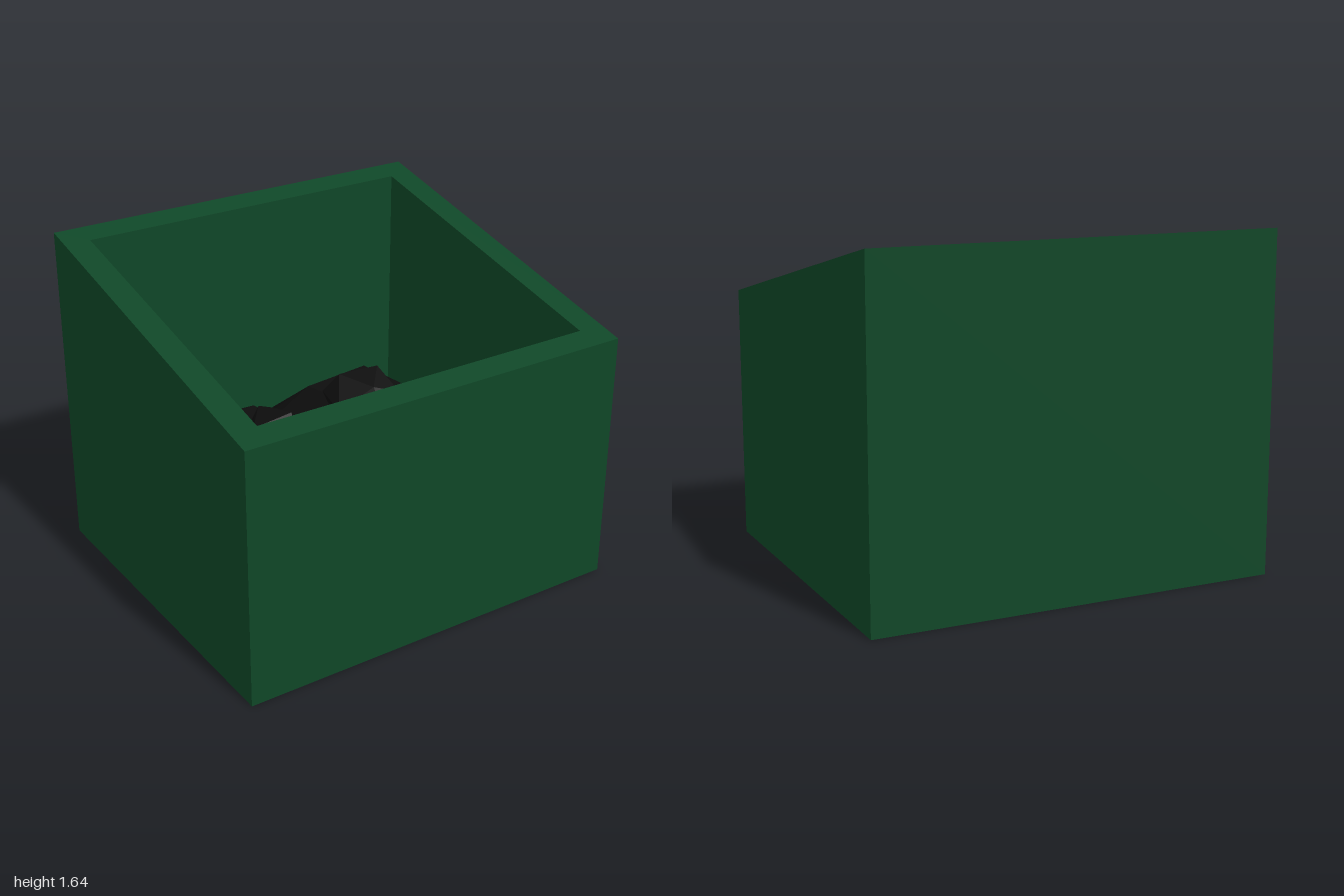
import * as THREE from 'three';
import { ConvexGeometry } from 'three/addons/geometries/ConvexGeometry.js';

const W = 1, D = 0.88;           // outer half width and depth
const IW = 0.87, ID = 0.76;      // inner half width and depth
const FLOOR = 0.12;
const rimY = z => 1.45 - z * 0.216; // sloping rim height

const boxMaterial = new THREE.MeshStandardMaterial({ color: 0x0f4627, flatShading: true });
const coalMaterial = new THREE.MeshStandardMaterial({ color: 0x0d0d0d, flatShading: true });

// Rectangular walls with a hole, extruded upwards, top cut to the slope
function makeWalls() {
  const rect = (target, w, d) => target.moveTo(-w, -d).lineTo(w, -d).lineTo(w, d).lineTo(-w, d).closePath();
  const shape = rect(new THREE.Shape(), W, D);
  shape.holes.push(rect(new THREE.Path(), IW, ID));
  const geo = new THREE.ExtrudeGeometry(shape, { depth: 1, bevelEnabled: false });
  geo.rotateX(-Math.PI / 2);
  const p = geo.attributes.position;
  for (let i = 0; i < p.count; i++) if (p.getY(i) > 0.5) p.setY(i, rimY(p.getZ(i)));
  geo.computeVertexNormals();
  return new THREE.Mesh(geo, boxMaterial);
}

// Faceted lump: hull of its plan outline at the widest level, a base and a crown
function makeLump(outline, baseY, midY, topY, crown, name) {
  const cx = outline.reduce((s, p) => s + p[0], 0) / outline.length;
  const cz = outline.reduce((s, p) => s + p[1], 0) / outline.length;
  const ring = (scale, y, wobble, step) => outline
    .filter((_, i) => i % step === 0)
    .map(([x, z], i) => new THREE.Vector3(
      cx + (x - cx) * scale, y + wobble * Math.sin(i * 2.3), cz + (z - cz) * scale));
  const geo = new ConvexGeometry([
    ...ring(0.6, baseY, 0, 2),
    ...ring(1, midY, 0.05, 1),
    ...ring(crown, topY, 0.025, 2),
  ]);
  const mesh = new THREE.Mesh(geo, coalMaterial);
  mesh.name = name;
  return mesh;
}

export function createModel() {
  const group = new THREE.Group();
  group.name = 'coalBunker';

  const walls = makeWalls();
  walls.name = 'walls';
  const floor = new THREE.Mesh(new THREE.BoxGeometry(IW * 2, FLOOR, ID * 2), boxMaterial);
  floor.name = 'floor';
  floor.position.y = FLOOR / 2;
  group.add(walls, floor);

  // Large lumps resting on the floor, plan outlines as [x, z]
  const coal = new THREE.Group();
  coal.name = 'coalPile';
  const large = {
    leftLump: [[-0.5, -0.76], [-0.24, -0.76], [0.02, -0.67], [0.12, -0.4], [0.1, -0.1], [-0.05, 0.08],
      [-0.35, 0.2], [-0.58, 0.33], [-0.65, 0.3], [-0.79, 0.04], [-0.87, -0.04], [-0.87, -0.3], [-0.83, -0.5]],
    rightLump: [[0, -0.73], [0.1, -0.76], [0.66, -0.76], [0.87, -0.69], [0.87, 0], [0.7, 0.27],
      [0.55, 0.31], [0.4, 0.2], [0.15, 0], [-0.02, -0.6]],
    frontLump: [[-0.59, 0.24], [-0.35, 0.17], [-0.07, 0.07], [0.2, 0.02], [0.5, 0.15], [0.62, 0.3],
      [0.6, 0.61], [0.32, 0.76], [-0.21, 0.76], [-0.35, 0.72], [-0.61, 0.4]],
  };
  for (const [name, outline] of Object.entries(large))
    coal.add(makeLump(outline, FLOOR, 0.42, 0.66, 0.55, name));

  // Small lumps heaped on top
  const small = {
    leftTopLump: [[-0.28, -0.3], [-0.16, -0.27], [-0.15, 0], [-0.25, 0.06], [-0.48, -0.05], [-0.4, -0.2]],
    rightTopLump: [[0.18, -0.37], [0.4, -0.37], [0.51, -0.28], [0.47, -0.1], [0.33, -0.07], [0.17, -0.2]],
    frontTopLump: [[-0.08, 0.05], [0.1, 0.01], [0.15, 0.2], [0.1, 0.37], [-0.08, 0.36], [-0.15, 0.2]],
  };
  for (const [name, outline] of Object.entries(small))
    coal.add(makeLump(outline, 0.5, 0.7, 0.8, 0.6, name));
  group.add(coal);

  return group;
}
